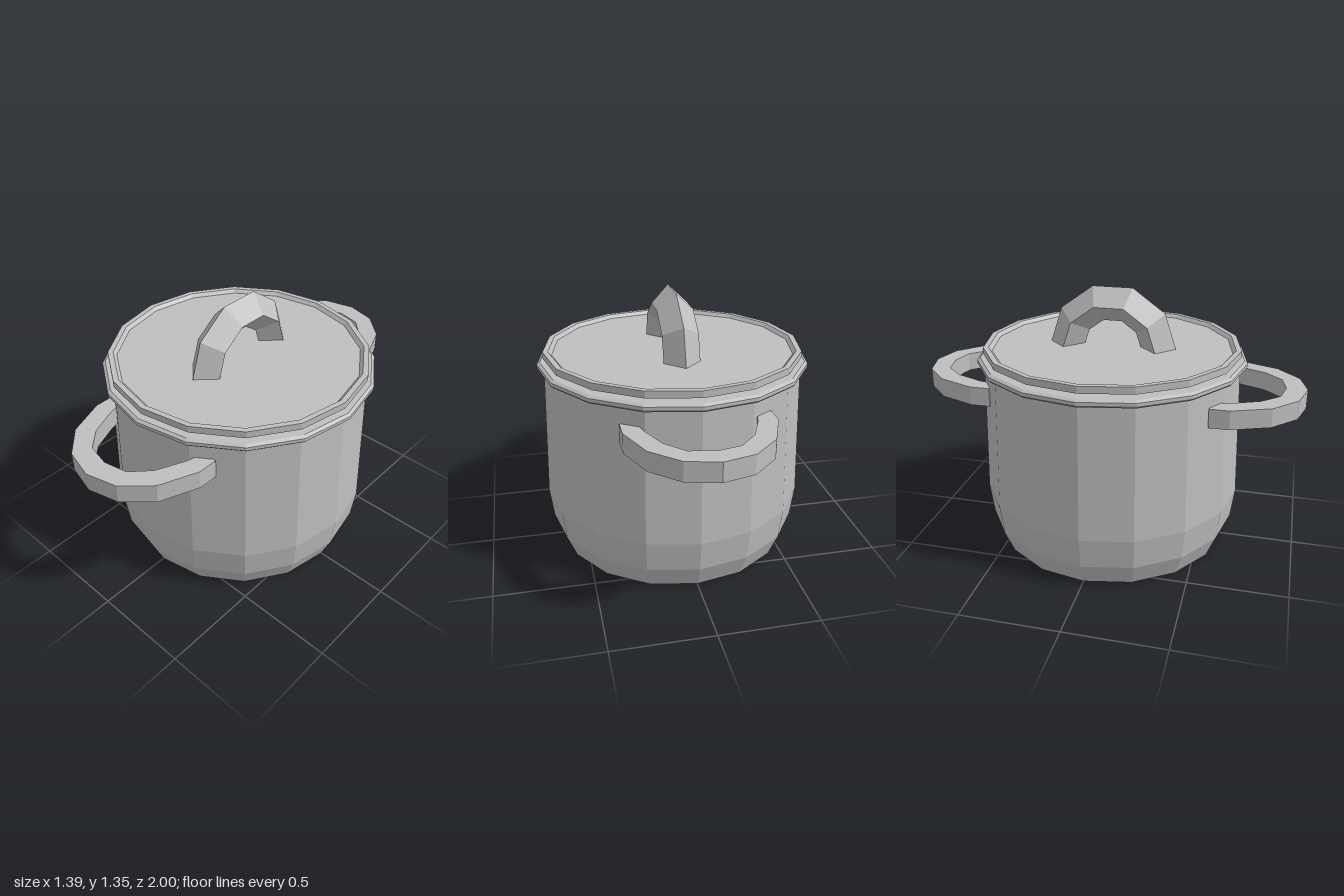
import * as THREE from 'three';

const SIDES = 16;

// Sixteen-sided solid of revolution from [radius, height] pairs, listed bottom to top
function turned(name, points, material) {
  const profile = points.map(([r, y]) => new THREE.Vector2(r, y));
  const mesh = new THREE.Mesh(new THREE.LatheGeometry(profile, SIDES), material);
  mesh.name = name;
  return mesh;
}

export function createModel() {
  const pot = new THREE.Group();
  pot.name = 'cookingPot';
  const steel = new THREE.MeshStandardMaterial({ color: 0xbfbfbf });
  steel.name = 'steel';
  steel.flatShading = true;

  // Body with a rounded foot
  pot.add(turned('body', [[0, 0], [0.61, 0], [0.66, 0.12], [0.68, 0.28], [0.66, 0.98]], steel));

  // Rolled rim
  pot.add(turned('rim', [
    [0.655, 0.972], [0.685, 0.972], [0.695, 0.982], [0.695, 1.0], [0.68, 1.01], [0.59, 1.01],
  ], steel));

  // Lid: narrow neck, overhanging edge and slightly sunken top
  pot.add(turned('lid', [
    [0.605, 1.0], [0.605, 1.028], [0.662, 1.028], [0.662, 1.063],
    [0.635, 1.063], [0.618, 1.045], [0, 1.045],
  ], steel));

  // Arched lid handle with a diamond section
  const arch = new THREE.TorusGeometry(0.244, 0.092, 4, 5, Math.PI);
  const lidHandle = new THREE.Mesh(arch, steel);
  lidHandle.name = 'lidHandle';
  lidHandle.rotation.y = Math.PI / 2;
  lidHandle.position.y = 1.03;
  pot.add(lidHandle);

  // Loop handles at front and back, half outline mirrored in x
  const outer = [[0.36, 0.55], [0.36, 0.65], [0.285, 0.84], [0.157, 0.96]];
  const inner = [[0.12, 0.87], [0.205, 0.78], [0.265, 0.64], [0.285, 0.55]];
  const mirror = (pts) => pts.map(([x, z]) => [-x, z]).reverse();
  const outline = [
    ...outer, [0, 1], ...mirror(outer),
    ...mirror(inner), [0, 0.895], ...inner,
  ];
  const shape = new THREE.Shape(outline.map(([x, z]) => new THREE.Vector2(x, z)));
  const loop = new THREE.ExtrudeGeometry(shape, { depth: 0.097, bevelEnabled: false });
  loop.rotateX(Math.PI / 2);
  loop.translate(0, 0.886, 0);
  for (const [name, turn] of [['frontHandle', 0], ['backHandle', Math.PI]]) {
    const handle = new THREE.Mesh(loop, steel);
    handle.name = name;
    handle.rotation.y = turn;
    pot.add(handle);
  }

  return pot;
}
